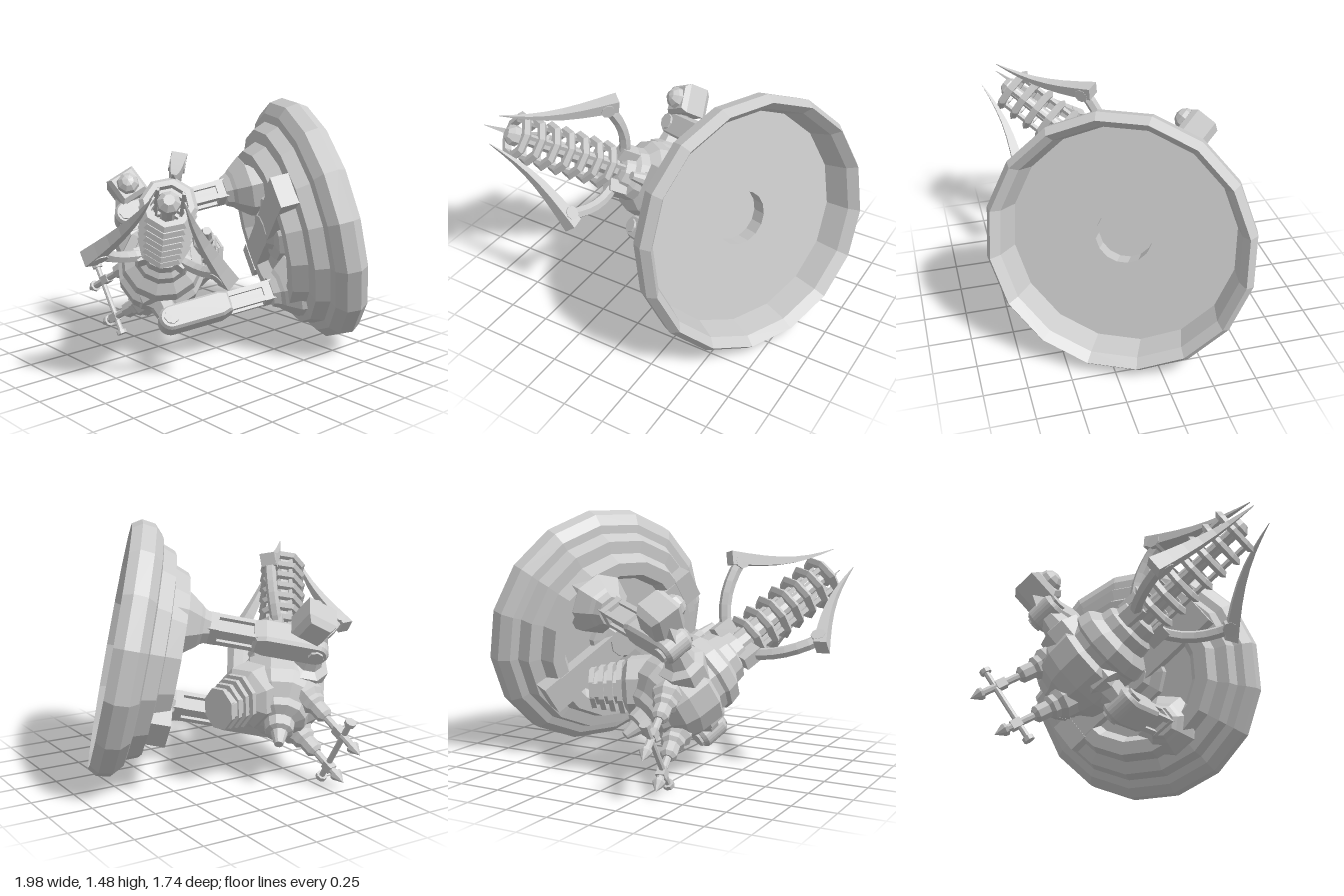
import * as THREE from 'three';

const V = (x, y, z) => new THREE.Vector3(x, y, z);
const mat = new THREE.MeshStandardMaterial({ color: 0xcccccc, flatShading: true, side: THREE.DoubleSide });

function add(parent, name, geo, pos = V(0, 0, 0)) {
  const m = new THREE.Mesh(geo, mat);
  m.name = name;
  m.position.copy(pos);
  parent.add(m);
  return m;
}

// Group whose local y follows dir and whose local x leans towards hint
function frame(parent, name, origin, dir, hint) {
  const g = new THREE.Group();
  const y = dir.clone().normalize();
  const x = hint.clone().addScaledVector(y, -hint.dot(y)).normalize();
  const z = x.clone().cross(y);
  g.quaternion.setFromRotationMatrix(new THREE.Matrix4().makeBasis(x, y, z));
  g.position.copy(origin);
  g.name = name;
  parent.add(g);
  return g;
}

// Lathe from [radius, height] pairs, lowest first
const lathe = (pts, seg, start = 0) =>
  new THREE.LatheGeometry(pts.map(p => new THREE.Vector2(p[0], p[1])), seg, start);

// Bar along local y between two heights
function bar(parent, name, y0, y1, w, d, x = 0, z = 0) {
  return add(parent, name, new THREE.BoxGeometry(w, y1 - y0, d), V(x, (y0 + y1) / 2, z));
}

function buildShield(root) {
  const g = frame(root, 'shield', V(0.58, 0.745, 0.18), V(0.88, 0.2, 0.43), V(0, 1, 0));
  add(g, 'dish', lathe([
    [0, -0.22], [0.38, -0.22], [0.42, -0.29], [0.5, -0.29], [0.535, -0.2], [0.61, -0.19],
    [0.64, -0.11], [0.69, -0.1], [0.745, -0.05], [0.755, 0.03], [0.72, 0.085], [0.675, 0.03],
    [0.635, -0.115], [0.16, -0.115], [0.16, -0.205], [0, -0.205]], 16, Math.PI / 16));
  // diagonal spar with raised end tabs across the back
  const spar = new THREE.Group();
  spar.name = 'backSpar';
  spar.rotation.y = 0.95;
  g.add(spar);
  add(spar, 'sparBeam', new THREE.BoxGeometry(1.04, 0.08, 0.17), V(0, -0.255, 0));
  for (const s of [-1, 1]) add(spar, 'sparTab', new THREE.BoxGeometry(0.12, 0.14, 0.19), V(s * 0.53, -0.23, 0));
  add(g, 'backHub', lathe([[0, -0.3], [0.1, -0.3], [0.13, -0.26], [0.2, -0.25], [0.22, -0.2]], 10));
}

function buildArm(root, origin, outward) {
  const g = frame(root, 'supportArm', origin, V(0.88, 0.2, 0.43), outward);
  // housing with a rounded pivot end
  const s = new THREE.Shape();
  s.absarc(0, 0, 0.06, Math.PI, 2 * Math.PI, false);
  s.lineTo(0.06, 0.3);
  s.lineTo(0.045, 0.35);
  s.lineTo(-0.045, 0.35);
  s.lineTo(-0.06, 0.3);
  const geo = new THREE.ExtrudeGeometry(s, { depth: 0.13, bevelEnabled: true, bevelSize: 0.015,
    bevelThickness: 0.02, bevelSegments: 1, curveSegments: 6 });
  geo.translate(0, 0, -0.065);
  add(g, 'armHousing', geo);
  const cap = add(g, 'pivotCap', new THREE.CylinderGeometry(0.045, 0.05, 0.2, 8));
  cap.rotation.x = Math.PI / 2;
  // recessed strut with corner rails
  bar(g, 'strutCore', 0.3, 0.74, 0.07, 0.1);
  for (const x of [-0.042, 0.042]) for (const z of [-0.055, 0.055]) bar(g, 'strutRail', 0.3, 0.72, 0.03, 0.03, x, z);
  bar(g, 'strutBlock', 0.57, 0.66, 0.12, 0.14);
  // stepped foot on the shield
  add(g, 'armFoot', lathe([[0, 0.62], [0.09, 0.62], [0.11, 0.66], [0.13, 0.68], [0.19, 0.76], [0.2, 0.83]], 8, Math.PI / 8));
}

// Claw in the xy plane: x is distance from the axis, y is along it
function buildClaw(parent, angle) {
  const g = new THREE.Group();
  g.name = 'claw';
  g.rotation.y = angle;
  parent.add(g);
  const path = new THREE.QuadraticBezierCurve3(V(0.12, -0.28, 0), V(0.3, -0.2, 0), V(0.38, 0.02, 0));
  add(g, 'clawArm', new THREE.TubeGeometry(path, 6, 0.035, 6, false));
  bar(g, 'clawRoot', -0.36, -0.24, 0.08, 0.08, 0.13);
  const joint = add(g, 'clawJoint', new THREE.CylinderGeometry(0.042, 0.042, 0.09, 8), V(0.38, 0.02, 0));
  joint.rotation.x = Math.PI / 2;
  // tapering blade that sags towards the axis
  const blade = new THREE.BoxGeometry(1, 1, 1, 1, 7, 1);
  const p = blade.attributes.position;
  for (let i = 0; i < p.count; i++) {
    const t = p.getY(i) + 0.5, k = 1 - 0.96 * t;
    const mid = 0.435 - 0.34 * t - 0.05 * Math.sin(Math.PI * t);
    p.setXYZ(i, mid + p.getX(i) * 0.065 * k, -0.02 + 0.59 * t + p.getX(i) * 0.04 * k, p.getZ(i) * 0.09 * k);
  }
  add(g, 'clawBlade', blade);
}

function buildCannon(root) {
  const g = frame(root, 'cannon', V(-0.577, 0.863, 0.247), V(-0.49, 0.54, 0.685), V(0.47, 0.83, -0.31));
  add(g, 'cannonBody', lathe([
    [0, -1.13], [0.025, -1.13], [0.05, -1.05], [0.08, -1.04], [0.09, -0.98], [0.15, -0.96], [0.17, -0.92],
    [0.235, -0.86], [0.26, -0.78], [0.265, -0.64], [0.23, -0.61], [0.23, -0.57], [0.245, -0.55],
    [0.23, -0.48], [0.17, -0.44], [0.16, -0.38], [0.13, -0.36], [0.12, -0.3], [0.08, -0.29], [0, -0.29]], 12));
  // ringed barrel
  for (let i = 0; i < 7; i++) {
    add(g, 'barrelRing', lathe([[0.1, -0.022], [0.13, -0.022], [0.152, 0], [0.13, 0.022], [0.1, 0.022], [0.1, -0.022]], 8),
      V(0, -0.2 + i * 0.1, 0));
  }
  for (let i = 0; i < 4; i++) {
    const a = (i + 0.5) * Math.PI / 2;
    bar(g, 'barrelRod', -0.32, 0.42, 0.024, 0.024, 0.1 * Math.cos(a), 0.1 * Math.sin(a));
  }
  add(g, 'barrelCore', lathe([[0.06, -0.32], [0.04, 0.1], [0.035, 0.39], [0.06, 0.4], [0.06, 0.44], [0.03, 0.47], [0, 0.47]], 8));
  for (let i = 0; i < 3; i++) buildClaw(g, i * 2 * Math.PI / 3);
}

function buildProng(root, base, tip) {
  const dir = tip.clone().sub(base);
  const L = dir.length();
  const g = frame(root, 'rearProng', base, dir, V(1, 0, 0));
  add(g, 'prongSocket', lathe([[0, -0.12], [0.09, -0.12], [0.095, 0.02], [0.07, 0.05], [0.07, 0.08],
    [0.05, 0.1], [0.05, 0.17], [0.03, 0.19], [0, 0.19]], 8));
  bar(g, 'prongCollar', 0.27, 0.33, 0.05, 0.05);
  add(g, 'prongRod', new THREE.CylinderGeometry(0.022, 0.022, L - 0.06, 8), V(0, (L - 0.06) / 2, 0));
  add(g, 'prongTip', lathe([[0, L - 0.08], [0.036, L - 0.075], [0.036, L - 0.06], [0, L]], 8));
}

export function createModel() {
  const root = new THREE.Group();
  root.name = 'shieldedCannon';
  buildShield(root);

  // two parallel arms and the axle that carries the cannon
  const low = V(-0.31, 0.225, -0.05), high = V(-0.3, 0.775, -0.48);
  const across = high.clone().sub(low);
  buildArm(root, low, across.clone().negate());
  buildArm(root, high, across);
  const axle = frame(root, 'axle', low, across, V(1, 0, 0));
  const len = across.length();
  add(axle, 'axleShaft', lathe([[0.07, 0.04], [0.09, 0.12], [0.14, 0.14], [0.14, len - 0.14], [0.09, len - 0.12], [0.07, len - 0.04]], 8));

  buildCannon(root);

  // rear prongs joined by a crossbar
  buildProng(root, V(-0.26, 0.49, -0.46), V(-0.33, 0.23, -0.87));
  buildProng(root, V(-0.26, 0.26, -0.37), V(-0.33, 0.03, -0.73));
  const a = V(-0.31, 0.4, -0.8), b = V(-0.31, 0.02, -0.55);
  const cross = frame(root, 'prongCrossbar', a, b.clone().sub(a), V(1, 0, 0));
  const cl = a.distanceTo(b);
  add(cross, 'crossRod', new THREE.CylinderGeometry(0.017, 0.017, cl, 8), V(0, cl / 2, 0));
  for (const y of [0, cl]) add(cross, 'crossKnob', new THREE.CylinderGeometry(0.032, 0.032, 0.025, 8), V(0, y, 0));

  // side barrel
  const side = frame(root, 'sideBarrel', V(-0.02, 0.57, -0.11), V(-0.49, 0.54, 0.685), V(1, 0, 0));
  add(side, 'sideBarrelTube', lathe([[0, -0.04], [0.07, -0.03], [0.078, 0.2], [0.065, 0.23], [0.05, 0.24],
    [0.05, 0.32], [0.04, 0.33], [0.025, 0.42], [0, 0.42]], 8));
  add(side, 'sideBarrelMount', new THREE.BoxGeometry(0.18, 0.14, 0.1), V(-0.08, 0.05, 0.02));

  // sensor pod with a domed lens
  const pod = frame(root, 'sensorPod', V(-0.26, 0.94, -0.52), V(-0.49, 0.54, 0.685), V(0.8, 0.5, 0.3));
  add(pod, 'podCase', lathe([[0, -0.12], [0.09, -0.12], [0.13, -0.08], [0.13, 0.05], [0.1, 0.08], [0, 0.08]], 4, Math.PI / 4));
  add(pod, 'podLens', new THREE.SphereGeometry(0.072, 8, 6), V(0, 0.07, 0));
  const podNeck = frame(root, 'podNeck', high, V(0.05, 0.17, -0.05), V(1, 0, 0));
  bar(podNeck, 'podPost', 0, 0.16, 0.11, 0.1);

  // finned vent box on the shield side of the body
  const vent = frame(root, 'ventBox', V(-0.18, 0.5, -0.2), V(0.93, -0.06, -0.36), V(0, 1, 0));
  add(vent, 'ventNeck', lathe([[0.19, 0], [0.18, 0.27], [0.1, 0.32], [0.1, 0.5], [0, 0.5]], 8, Math.PI / 8));
  for (let i = 0; i < 4; i++) {
    const r = 0.16 - i * 0.012;
    add(vent, 'ventFin', new THREE.CylinderGeometry(r, r, 0.03, 8, 1, false, Math.PI / 8), V(0, 0.32 + i * 0.055, 0))
      .scale.z = 0.8;
  }
  return root;
}
